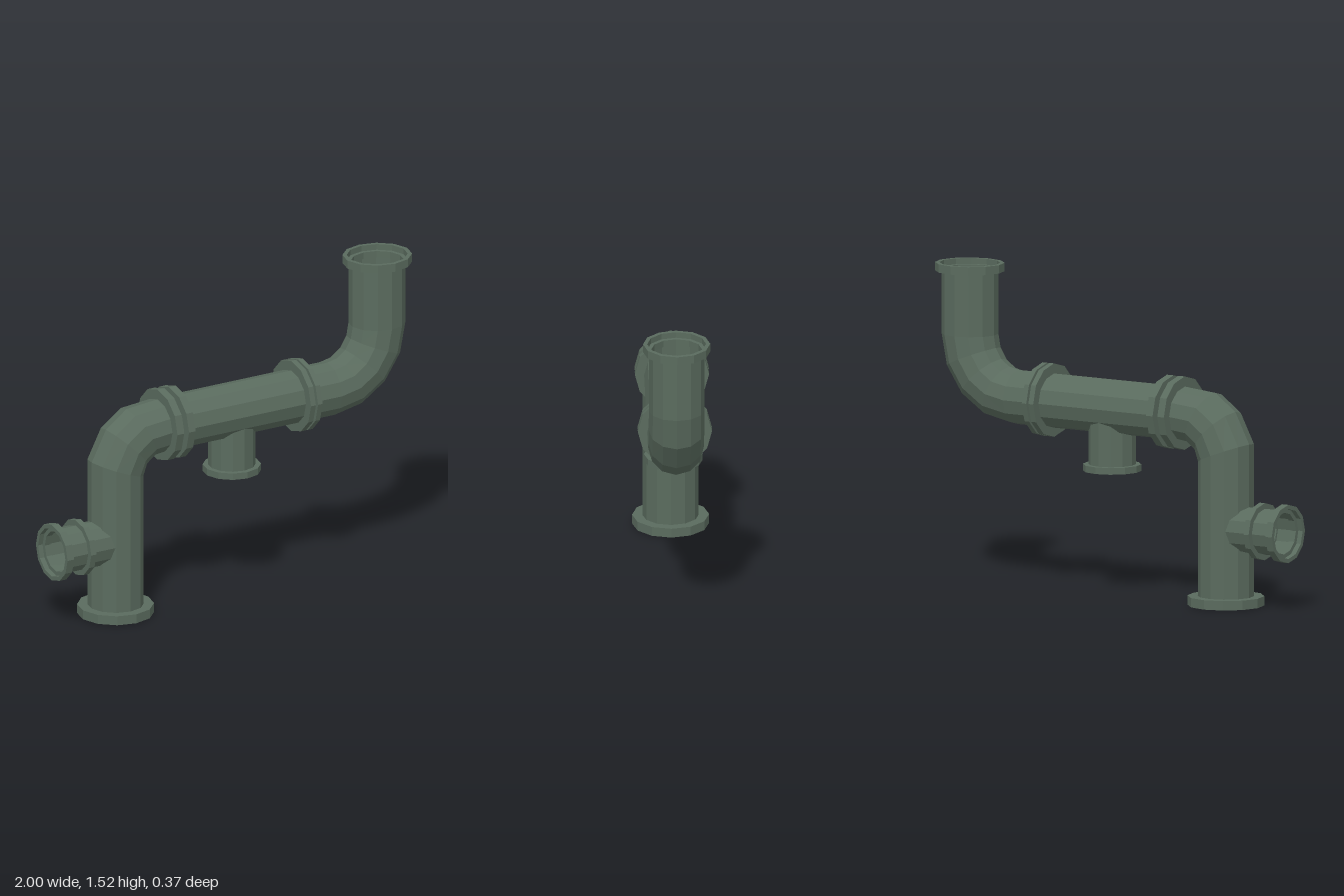
import * as THREE from 'three';

const SIDES = 12;
const paint = new THREE.MeshStandardMaterial({ color: 0x5a6b5e, flatShading: true, side: THREE.DoubleSide });
paint.name = 'green grey metal';

function add(parent, name, geometry) {
  const mesh = new THREE.Mesh(geometry, paint);
  mesh.name = name;
  parent.add(mesh);
  return mesh;
}

function lathe(points) {
  const g = new THREE.LatheGeometry(points.map(([r, y]) => new THREE.Vector2(r, y)), SIDES).toNonIndexed();
  g.computeVertexNormals();
  return g;
}

// Plain band round a pipe of radius r, from y0 to y1
const band = (r, R, y0, y1) => lathe([[r, y0], [R, y0], [R, y1], [r, y1]]);

// End flange with a stepped mouth; it opens towards +y at y1
const flange = (r, R, y0, y1) => lathe([
  [r, y0], [R, y0], [R, y1], [r + 0.01, y1], [r + 0.01, y0 + 0.012], [r - 0.01, y0 + 0.012], [r - 0.01, y0 - 0.02],
]);

// Pipe skin through rings; each ring is given by its left and right edge in the xy plane
function sweep(rings, depth) {
  const pos = [], index = [];
  for (const [ax, ay, bx, by] of rings) {
    for (let j = 0; j < SIDES; j++) {
      const t = (j / SIDES) * Math.PI * 2, c = Math.cos(t);
      pos.push((ax + bx) / 2 + ((ax - bx) / 2) * c, (ay + by) / 2 + ((ay - by) / 2) * c, depth * Math.sin(t));
    }
  }
  for (let i = 0; i < rings.length - 1; i++) {
    for (let j = 0; j < SIDES; j++) {
      const k = (j + 1) % SIDES;
      const a = i * SIDES + j, b = i * SIDES + k, c = b + SIDES, d = a + SIDES;
      index.push(a, b, c, a, c, d);
    }
  }
  let g = new THREE.BufferGeometry();
  g.setAttribute('position', new THREE.Float32BufferAttribute(pos, 3));
  g.setIndex(index);
  g = g.toNonIndexed();
  g.computeVertexNormals();
  return g;
}

// Short side pipe pointing along +y, with a flange at its mouth
function sidePort(name, length, r, R, lip) {
  const port = new THREE.Group();
  port.name = name;
  add(port, name + 'Pipe', lathe([[r, 0], [r, length - lip]]));
  add(port, name + 'Flange', flange(r, R, length - lip, length));
  return port;
}

export function createModel() {
  const model = new THREE.Group();
  model.name = 'pipe';

  // Main pipe: riser, tight elbow, level run, wide elbow, upper riser
  const rings = [
    [-0.775, 0.03, -0.508, 0.03],
    [-0.775, 0.78, -0.508, 0.68],
    [-0.695, 0.93, -0.492, 0.73],
    [-0.58, 1.012, -0.45, 0.762],
    [-0.41, 1.027, -0.4, 0.768],
  ];
  for (let i = 0; i <= 4; i++) {
    const t = (i / 4) * Math.PI / 2, s = Math.sin(t), c = Math.cos(t);
    rings.push([0.55 + 0.143 * s, 1.18 - 0.152 * c, 0.55 + 0.416 * s, 1.18 - 0.412 * c]);
  }
  rings.push([0.693, 1.49, 0.966, 1.49]);
  add(model, 'mainPipe', sweep(rings, 0.132));

  // Open flanges at the two ends
  const foot = add(model, 'bottomFlange', flange(0.135, 0.183, 0, 0.045));
  foot.rotation.x = Math.PI;
  foot.position.set(-0.641, 0.045, 0);
  const top = add(model, 'topFlange', flange(0.137, 0.168, 0, 0.04));
  top.scale.z = 0.95;
  top.position.set(0.831, 1.48, 0);

  // Paired collars on the level run
  for (const [x0, x1] of [[-0.405, -0.367], [-0.34, -0.302], [0.346, 0.374], [0.386, 0.412]]) {
    const collar = add(model, 'collar', band(0.12, 0.176, -x1, -x0));
    collar.rotation.z = Math.PI / 2;
    collar.position.y = 0.9;
  }

  // Outlet under the level run
  const outlet = sidePort('lowerOutlet', 0.26, 0.113, 0.139, 0.032);
  outlet.rotation.x = Math.PI;
  outlet.position.set(0.013, 0.85, 0);
  model.add(outlet);

  // Outlet on the side of the riser, with an extra collar
  const side = sidePort('sideOutlet', 0.31, 0.11, 0.14, 0.037);
  add(side, 'sideOutletCollar', band(0.1, 0.137, 0.145, 0.175));
  side.rotation.z = Math.PI / 2;
  side.position.set(-0.69, 0.37, 0);
  model.add(side);

  return model;
}
